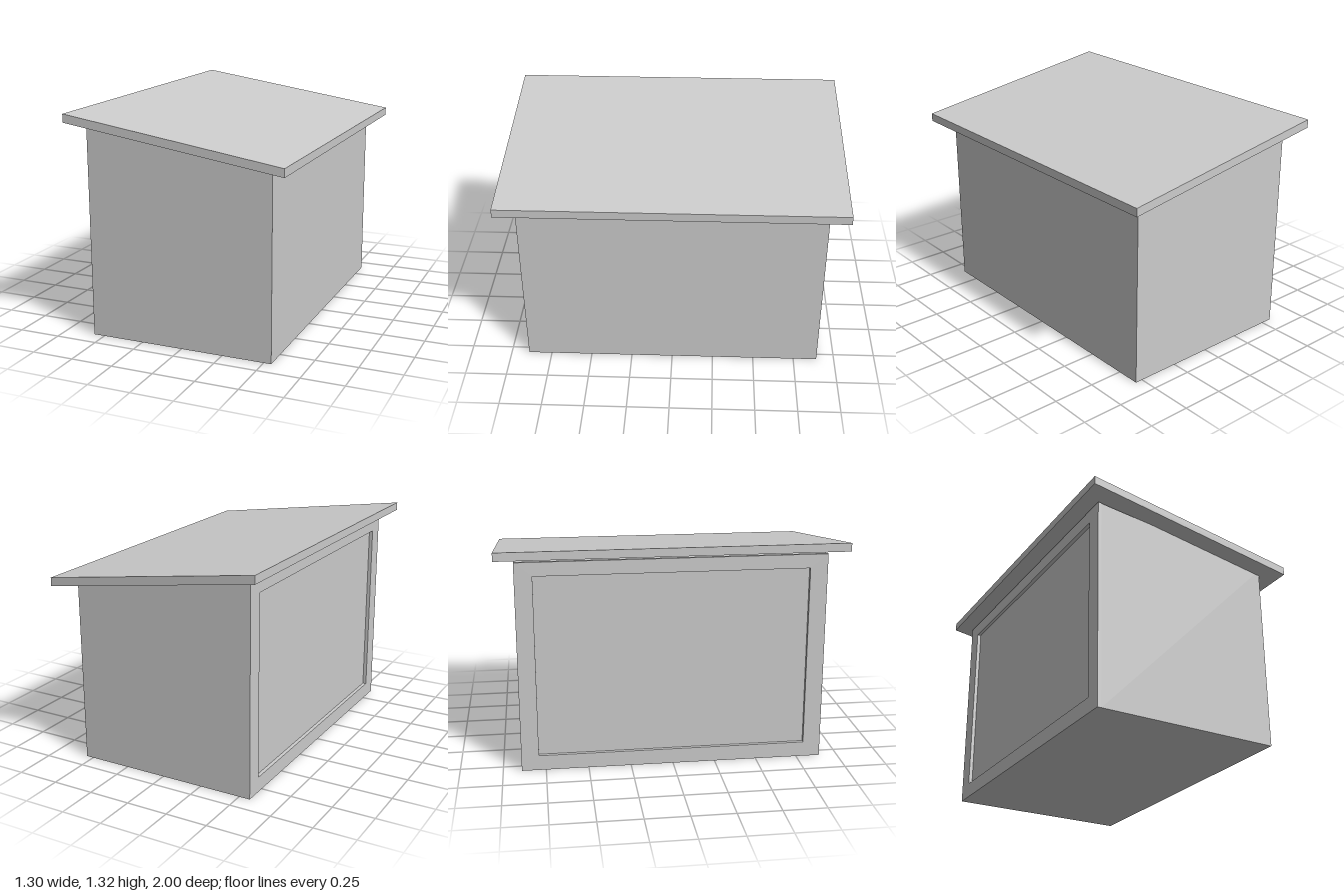
import * as THREE from 'three';

const paint = new THREE.MeshStandardMaterial({ color: 0xcccccc });
paint.name = 'light grey';

// Extrudes a closed outline by depth, centred on z
function prism(name, points, depth, holes = []) {
  const shape = new THREE.Shape(points.map(([x, y]) => new THREE.Vector2(x, y)));
  for (const hole of holes) {
    shape.holes.push(new THREE.Path(hole.map(([x, y]) => new THREE.Vector2(x, y))));
  }
  const geometry = new THREE.ExtrudeGeometry(shape, { depth, bevelEnabled: false });
  geometry.translate(0, 0, -depth / 2);
  const mesh = new THREE.Mesh(geometry, paint);
  mesh.name = name;
  return mesh;
}

export function createModel() {
  const group = new THREE.Group();
  group.name = 'shed';

  const halfX = 0.545, halfZ = 0.892, frameDepth = 0.022;

  // Walls with a sloping top that runs up into the roof
  group.add(prism('walls', [
    [-halfX, 0], [halfX, 0], [halfX, 1.132], [-halfX, 1.243],
  ], halfZ * 2));

  // Raised border on the tall side, leaving a shallow recessed panel
  const frame = prism('sideFrame',
    [[-halfZ, 0], [halfZ, 0], [halfZ, 1.246], [-halfZ, 1.246]],
    frameDepth,
    [[[-0.79, 0.09], [-0.79, 1.165], [0.79, 1.165], [0.79, 0.09]]]);
  frame.rotation.y = -Math.PI / 2;
  frame.position.x = -halfX - frameDepth / 2;
  group.add(frame);

  // Overhanging slab roof, sloping down towards +x
  group.add(prism('roof', [
    [-0.65, 1.274], [0.65, 1.081], [0.65, 1.13], [-0.65, 1.323],
  ], 2));

  return group;
}
